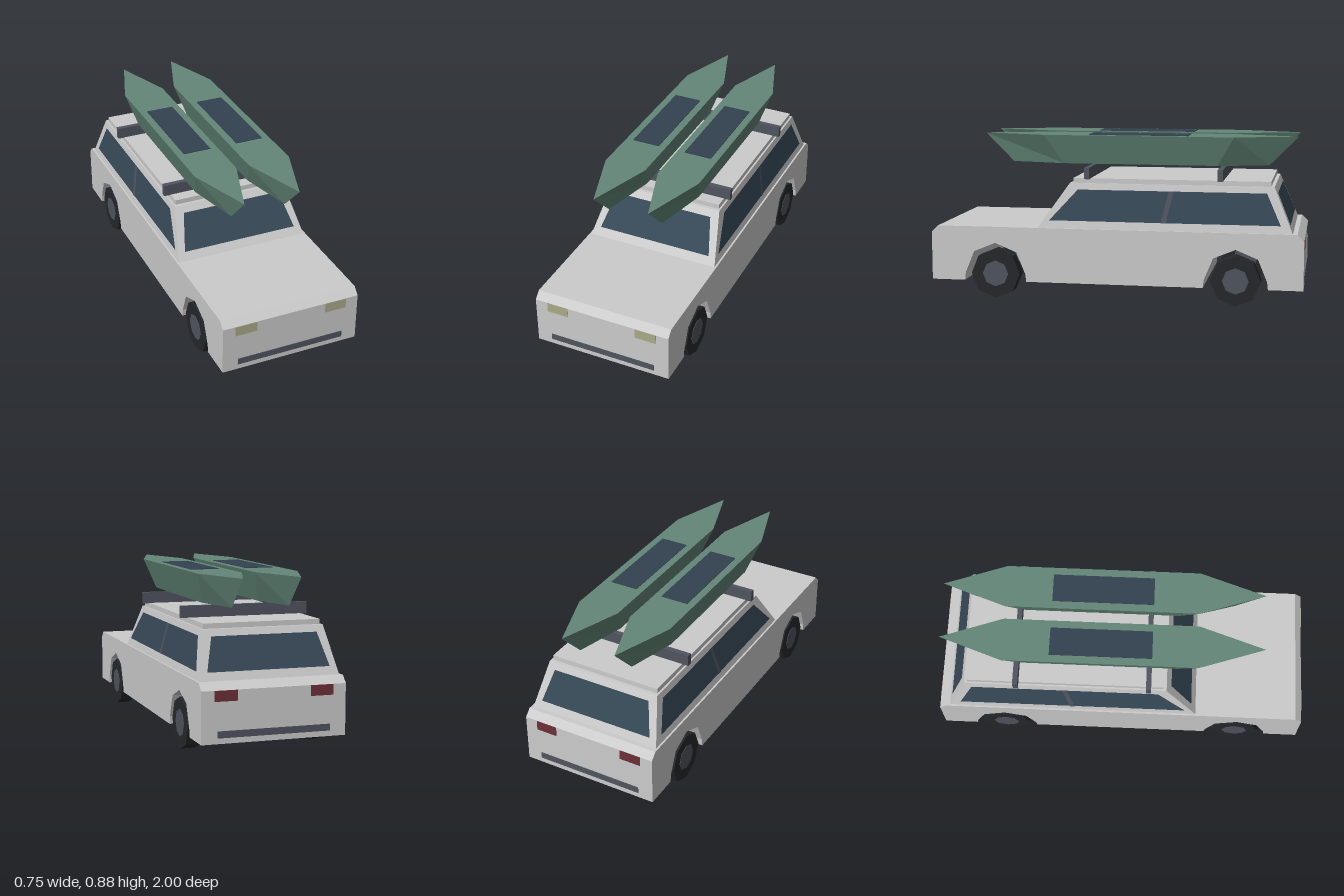
import * as THREE from 'three';

const mat = (color, side = THREE.FrontSide) =>
  new THREE.MeshStandardMaterial({ color, side, flatShading: true });

export function createModel() {
  const car = new THREE.Group();
  car.name = 'carWithKayaks';
  const paint = mat(0xcccccc);
  const glass = mat(0x364856, THREE.DoubleSide);
  const trim = mat(0x50545f, THREE.DoubleSide);
  const rubber = mat(0x25282b);
  const hull = mat(0x628677);
  const seat = mat(0x334150);
  const headlight = mat(0xaaaa88);
  const taillight = mat(0x6c3036);

  const add = (name, geometry, material, parent = car) => {
    const mesh = new THREE.Mesh(geometry, material);
    mesh.name = name;
    parent.add(mesh);
    return mesh;
  };
  const box = (name, size, pos, material, parent) =>
    add(name, new THREE.BoxGeometry(...size), material, parent).position.set(...pos);
  const faces = (points, index) => {
    const g = new THREE.BufferGeometry();
    g.setAttribute('position', new THREE.Float32BufferAttribute(points.flat(), 3));
    g.setIndex(index);
    const flat = g.toNonIndexed();
    flat.computeVertexNormals();
    return flat;
  };
  const quad = (name, points, material) => add(name, faces(points, [0, 1, 2, 0, 2, 3]), material);

  // Lower body: side profile with chamfered ends and octagonal wheel arches
  const axleZ = 0.645;
  const profile = new THREE.Shape();
  profile.moveTo(-0.997, 0.093);
  for (const z of [-axleZ, axleZ]) {
    profile.lineTo(z - 0.17, 0.093);
    for (let i = 0; i <= 4; i++) {
      const a = Math.PI - (i * Math.PI) / 4;
      profile.lineTo(z + 0.165 * Math.cos(a), 0.135 + 0.165 * Math.sin(a));
    }
    profile.lineTo(z + 0.17, 0.093);
  }
  profile.lineTo(0.997, 0.093);
  profile.lineTo(0.997, 0.352);
  profile.lineTo(0.962, 0.387);
  profile.lineTo(-0.962, 0.387);
  profile.lineTo(-0.997, 0.352);
  const body = new THREE.ExtrudeGeometry(profile, { depth: 0.746, bevelEnabled: false });
  body.rotateY(-Math.PI / 2).translate(0.373, 0, 0);
  add('body', body, paint);

  // Cabin: a box tapered by height
  const y0 = 0.387, y1 = 0.625;
  const lerp = (a, b, y) => a + ((b - a) * (y - y0)) / (y1 - y0);
  const halfX = (y) => lerp(0.363, 0.315, y);
  const frontZ = (y) => lerp(0.412, 0.245, y);
  const rearZ = (y) => lerp(-0.938, -0.838, y);
  const cabin = new THREE.BoxGeometry(1, 1, 1);
  const p = cabin.attributes.position;
  for (let i = 0; i < p.count; i++) {
    const y = p.getY(i) > 0 ? y1 : y0;
    p.setXYZ(i, Math.sign(p.getX(i)) * halfX(y), y, p.getZ(i) > 0 ? frontZ(y) : rearZ(y));
  }
  cabin.computeVertexNormals();
  add('cabin', cabin, paint);
  box('roofPanel', [0.61, 0.027, 1.048], [0, 0.6375, -0.296], paint);

  // Windows lie just proud of the cabin faces
  const lo = 0.428, hi = 0.592, gap = 0.003;
  for (const [name, z, out] of [['windshield', frontZ, gap], ['rearWindow', rearZ, -gap]]) {
    const pts = [[-0.318, lo], [0.318, lo], [0.275, hi], [-0.275, hi]];
    quad(name, pts.map(([x, y]) => [x, y, z(y) + out]), glass);
  }
  for (const s of [-1, 1]) {
    const side = s > 0 ? 'left' : 'right';
    const onSide = (pts, out) => pts.map(([z, y]) => [s * (halfX(y) + out), y, z]);
    quad(side + 'SideWindow', onSide([[0.35, lo], [-0.875, lo], [-0.8, hi], [0.2, hi]], gap), glass);
    quad(side + 'Pillar', onSide([[-0.25, lo], [-0.276, lo], [-0.313, hi], [-0.287, hi]], 2 * gap), trim);
  }

  // Bumper strips and lamps at both ends
  for (const [end, s, lamp] of [['front', 1, headlight], ['rear', -1, taillight]]) {
    box(end + 'BumperStrip', [0.582, 0.034, 0.01], [0, 0.138, s * 0.995], trim);
    for (const x of [-0.247, 0.247])
      box(end + 'Lamp', [0.117, 0.053, 0.01], [x, 0.325, s * 0.994], lamp);
  }

  // Octagonal wheels with hubs
  const disc = (r, w) => new THREE.CylinderGeometry(r, r, w, 8).rotateZ(Math.PI / 2);
  for (const s of [-1, 1]) {
    for (const z of [-axleZ, axleZ]) {
      const wheel = new THREE.Group();
      wheel.name = (z > 0 ? 'front' : 'rear') + (s > 0 ? 'Left' : 'Right') + 'Wheel';
      wheel.position.set(s * 0.333, 0.133, z);
      add('tire', disc(0.133, 0.073), rubber, wheel);
      add('hub', disc(0.07, 0.078), trim, wheel);
      car.add(wheel);
    }
  }

  // Roof rack bars
  for (const z of [0.148, -0.558])
    box('rackBar', [0.68, 0.061, 0.027], [0, 0.68, z], trim);

  // Kayaks: hexagonal deck joined to a smaller hexagonal keel
  const ring = (w, y, tipF, shF, shR, tipR) =>
    [[-w, y, shF], [0, y, tipF], [w, y, shF], [w, y, shR], [0, y, tipR], [-w, y, shR]];
  const points = [
    ...ring(0.115, 0.875, 0.748, 0.4, -0.622, -0.953),
    ...ring(0.07, 0.72, 0.592, 0.295, -0.53, -0.8),
  ];
  const index = [];
  for (let i = 0; i < 6; i++) {
    const j = (i + 1) % 6;
    index.push(i, i + 6, j + 6, i, j + 6, j);
    if (i > 0 && i < 5) index.push(0, i, i + 1, 6, i + 7, i + 6);
  }
  for (const s of [-1, 1]) {
    const kayak = new THREE.Group();
    kayak.name = s > 0 ? 'leftKayak' : 'rightKayak';
    kayak.position.x = s * 0.15;
    add('kayakHull', faces(points, index), hull, kayak);
    box('cockpit', [0.15, 0.008, 0.535], [0, 0.874, -0.108], seat, kayak);
    car.add(kayak);
  }
  return car;
}
